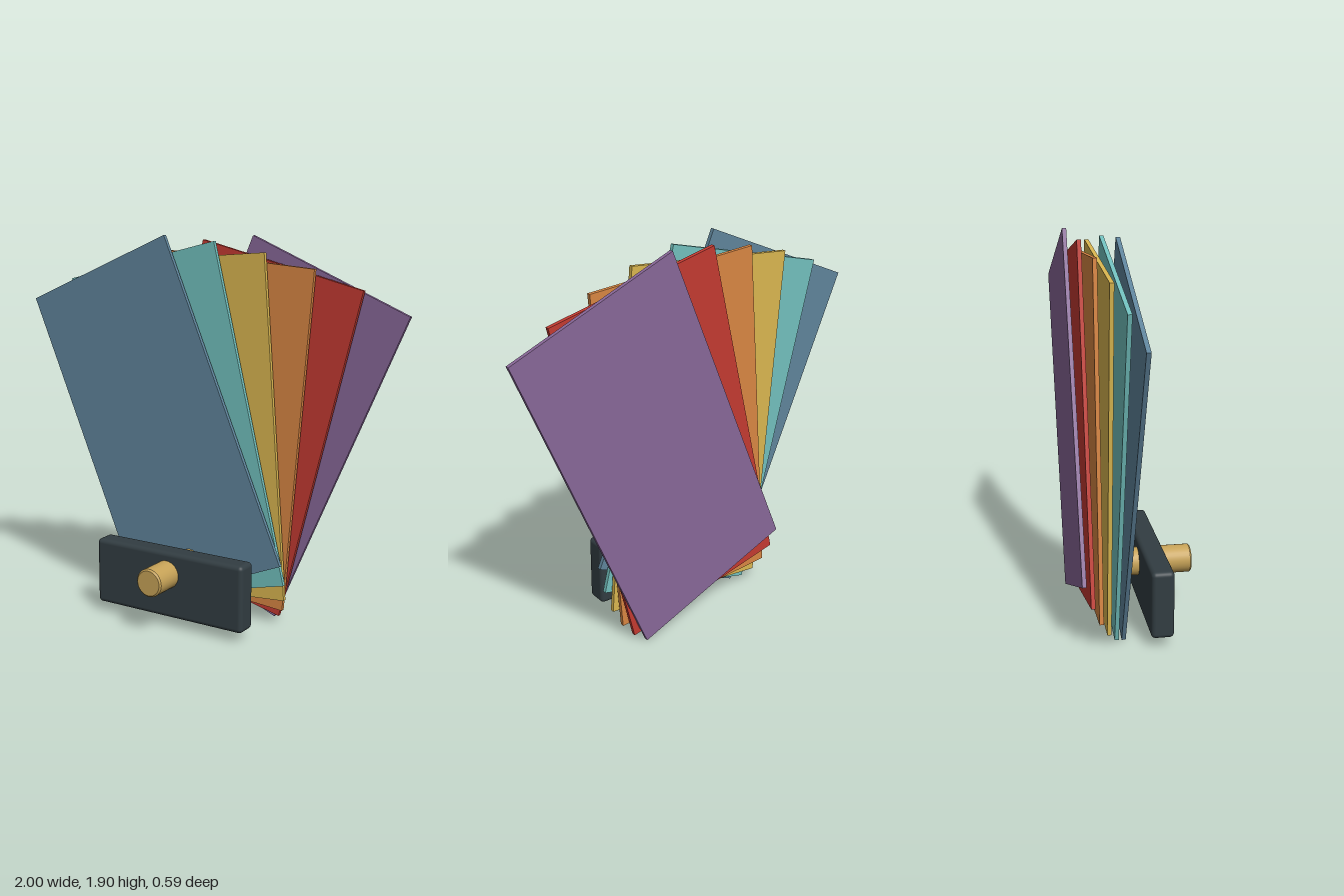
import * as THREE from 'three';
import { RoundedBoxGeometry } from 'three/addons/geometries/RoundedBoxGeometry.js';
import { toCreasedNormals } from 'three/addons/utils/BufferGeometryUtils.js';

const PANEL_COLORS = [
  ['bluePanel', 0x5f849b],
  ['tealPanel', 0x72c0bd],
  ['yellowPanel', 0xd9b650],
  ['orangePanel', 0xd88643],
  ['redPanel', 0xc33a31],
  ['purplePanel', 0x886798],
];

function addMesh(parent, name, geometry, color, x, y, z) {
  const mesh = new THREE.Mesh(geometry, new THREE.MeshStandardMaterial({ color }));
  mesh.name = name;
  mesh.position.set(x, y, z);
  parent.add(mesh);
  return mesh;
}

export function createModel() {
  const model = new THREE.Group();
  model.name = 'swatchFan';

  // Fanned panels, from the front one leaning right to the back one leaning left
  const fan = new THREE.Group();
  fan.name = 'panelFan';
  model.add(fan);
  const panelGeometry = new THREE.BoxGeometry(0.88, 1.69, 0.02);
  PANEL_COLORS.forEach(([name, color], i) => {
    const t = 1 - (2 * i) / (PANEL_COLORS.length - 1); // 1 .. -1
    const panel = addMesh(fan, name, panelGeometry, color, -0.265 * t, 0.953, -0.085 - 0.04 * i);
    panel.rotation.z = THREE.MathUtils.degToRad(23 * t);
  });

  // Rounded clamp bar in front of the fan
  addMesh(model, 'clampBar', new RoundedBoxGeometry(0.845, 0.335, 0.11, 4, 0.022),
    0x323d42, -0.038, 0.222, 0.085);

  // Pivot pin with softly chamfered ends, running front to back
  const radius = 0.07, half = 0.25, bevel = 0.008;
  const profile = [
    [0, -half], [radius - bevel, -half], [radius, -half + bevel],
    [radius, half - bevel], [radius - bevel, half], [0, half],
  ].map(([r, y]) => new THREE.Vector2(r, y));
  const pinGeometry = toCreasedNormals(new THREE.LatheGeometry(profile, 32), Math.PI / 6);
  pinGeometry.rotateX(Math.PI / 2);
  addMesh(model, 'pivotPin', pinGeometry, 0xc6a257, -0.04, 0.277, 0.045);

  return model;
}
